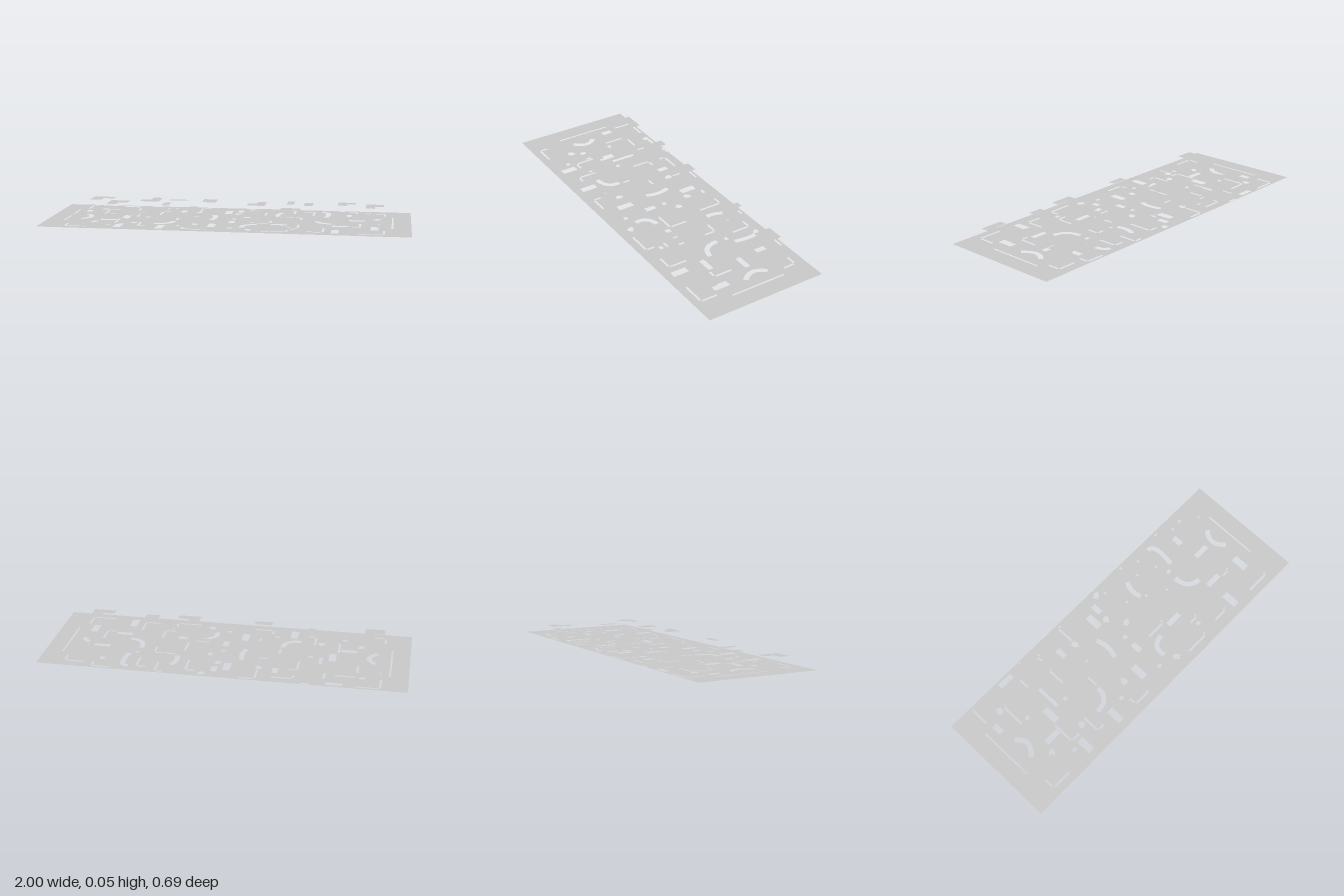
import * as THREE from 'three';

const ROOF_HEIGHT = 0.055;
const SLIT = 1.2; // gap beside each roof

// Plans are lists of [x, z] in hundredths of a unit, placed by their centre.
const box = (x, z, w, d) => [
  [x - w / 2, z - d / 2], [x + w / 2, z - d / 2], [x + w / 2, z + d / 2], [x - w / 2, z + d / 2],
];

// L-shaped plan: a box without the quarter on the (sx, sz) side
const ell = (x, z, w, d, sx, sz) => [
  [x, z], [x, z + sz * d / 2], [x - sx * w / 2, z + sz * d / 2],
  [x - sx * w / 2, z - sz * d / 2], [x + sx * w / 2, z - sz * d / 2], [x + sx * w / 2, z],
];

// Irregular five-sided opening, turned differently by its position
const chip = ([x, z]) => [2.5, 2, 2.5, 1.6, 2.4].map((r, i) => {
  const a = i * Math.PI * 0.4 + x;
  return [x + r * Math.cos(a), z + r * Math.sin(a)];
});

// Curved band of constant width, bending from one end to the other
function bend(ax, az, cx, cz, bx, bz) {
  const curve = new THREE.QuadraticBezierCurve(
    new THREE.Vector2(ax, az), new THREE.Vector2(cx, cz), new THREE.Vector2(bx, bz));
  const one = [], other = [];
  for (let i = 0; i <= 8; i++) {
    const p = curve.getPoint(i / 8), t = curve.getTangent(i / 8).multiplyScalar(1.4);
    one.push([p.x - t.y, p.y + t.x]);
    other.unshift([p.x + t.y, p.y - t.x]);
  }
  return [...one, ...other];
}

const roofs = [
  // back row
  ell(-78.5, -27, 13, 10, 1, 1), ell(-49.5, -26.5, 11, 13, -1, -1),
  box(-33.5, -27, 11, 3), box(-15, -27, 8, 10),
  ell(13, -21.5, 10, 13, -1, -1), box(32, -27, 4, 10), box(42.5, -23, 5, 10),
  ell(64, -27, 10, 10, 1, 1), ell(80, -21.5, 10, 13, 1, 1),
  // middle rows
  ell(-66.5, -14.5, 11, 13, 1, 1), box(-38, -13, 4, 10),
  ell(-23, -0.5, 10, 13, -1, -1), ell(17.5, 0.5, 11, 13, -1, -1),
  ell(33.5, -4, 11, 12, 1, 1), ell(-55, 12, 10, 12, 1, 1),
  box(36.5, 13.5, 5, 9), box(70, 7, 4, 10),
  // front row
  box(-44, 19, 4, 10), ell(-79.5, 23, 11, 12, -1, -1), box(-16, 26.5, 10, 4),
  ell(27.5, 24.5, 13, 9, 1, -1), box(49, 22, 8, 10), ell(78.5, 24.5, 13, 9, -1, -1),
];

// Narrow slits in the ground beside the two outward sides of a roof
function slitsFor(plan) {
  const spans = [0, 1].map((k) => plan.map((p) => p[k]));
  return [0, 1].map((k) => {
    const low = Math.min(...spans[k]), high = Math.max(...spans[k]);
    const sign = Math.sign(low + high), edge = sign > 0 ? high : low;
    const side = plan.filter((p) => p[k] === edge).map((p) => p[1 - k]);
    const middle = (Math.min(...side) + Math.max(...side)) / 2;
    const length = Math.max(...side) - Math.min(...side) - 0.2;
    const across = edge + sign * SLIT / 2;
    return k === 0 ? box(across, middle, SLIT, length) : box(middle, across, length, SLIT);
  });
}

// Centres of the openings that share a size
const tall = [[-58, 0], [-57, 25.5], [-34, 25.5], [-3, -21], [-7, 17.5], [80.5, 14.5], [60, 25.5]];
const short = [[-83.5, -15], [-29, -21], [3.5, -25], [2.5, 7], [66, -21]];
const wide = [[-61.5, -31.5], [-66.2, 9.3], [29, 10.5], [70.5, -6.5], [62, 10.5]];
const tiny = [[-63, 23], [-68, -8], [-46, -1], [2.5, -2], [3.5, 23.5], [-24.5, 21], [37, 22], [48.5, -11.5]];
const chips = [[-76, -21.5], [-72.5, 15.5], [-50.5, 16], [-16.5, 15.5], [9.5, -7.5], [14, 26.5],
  [-20, -19], [3, -17], [9.5, -31]];

const openings = [
  ...tall.map(([x, z]) => box(x, z, 4, 9)),
  ...short.map(([x, z]) => box(x, z, 3.2, 6)),
  ...wide.map(([x, z]) => box(x, z, 9, 3)),
  ...tiny.map(([x, z]) => box(x, z, 2.5, 2)),
  ...chips.map(chip),
  // long straight slits
  ...[-90, 90].map((x) => box(x, -2, 1, 32)),
  box(-52, -8, 2, 14),
  // curved openings
  bend(-81.5, -4, -74, 2, -82, 9),
  bend(83, -13, 76, -6, 83.5, 1),
  bend(-10, -12, -7, -5, -10, 2),
  bend(-29.5, 8, -29, 17, -39, 17),
  bend(27.5, -24, 24, -18, 26.5, -12.5),
  bend(50, -29, 56, -30, 53, -14),
  bend(48, -6, 48, 4, 57, 4.5),
  bend(17, 12, 8, 13, 10, 21),
];

const toVectors = (plan) => plan.map(([x, z]) => new THREE.Vector2(x / 100, -z / 100));

export function createModel() {
  const model = new THREE.Group();
  model.name = 'perforatedSitePlan';
  const material = new THREE.MeshStandardMaterial({ color: 0xcccccc, side: THREE.DoubleSide });

  const addSheet = (name, shape, y) => {
    const mesh = new THREE.Mesh(new THREE.ShapeGeometry(shape).rotateX(-Math.PI / 2), material);
    mesh.name = name;
    mesh.position.y = y;
    model.add(mesh);
  };

  // Ground sheet with all its openings
  const ground = new THREE.Shape(toVectors(box(0, 0, 200, 69)));
  ground.holes = [...openings, ...roofs.flatMap(slitsFor)].map((plan) => new THREE.Path(toVectors(plan)));
  addSheet('groundSheet', ground, 0);

  // Flat roofs floating above the ground
  roofs.forEach((plan, i) => addSheet(`roof${i + 1}`, new THREE.Shape(toVectors(plan)), ROOF_HEIGHT));
  return model;
}
